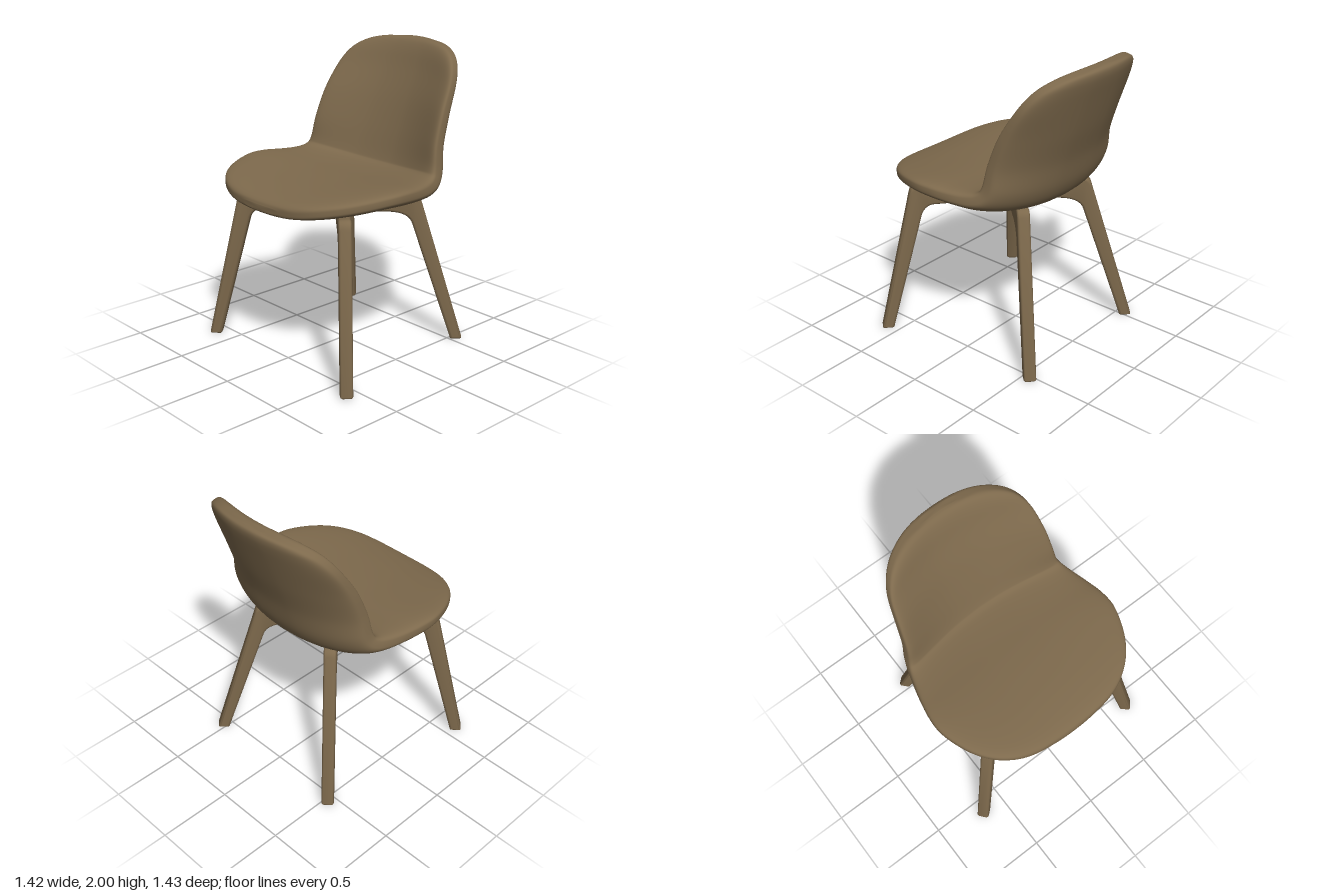
import * as THREE from 'three';
import { toCreasedNormals } from 'three/addons/utils/BufferGeometryUtils.js';

// Cross-sections from the seat's front lip to the top of the back:
// upper centre z, y | lower centre z, y | side rim z, y | half width
const SECTIONS = [
  [0.712, 1.1, 0.712, 1.065, 0.707, 1.085, 0.15],
  [0.698, 1.125, 0.698, 1.052, 0.687, 1.1, 0.3],
  [0.66, 1.145, 0.66, 1.046, 0.64, 1.122, 0.43],
  [0.58, 1.165, 0.58, 1.046, 0.55, 1.145, 0.55],
  [0.44, 1.185, 0.44, 1.052, 0.42, 1.165, 0.64],
  [0.26, 1.195, 0.26, 1.052, 0.25, 1.182, 0.7],
  [0.1, 1.195, 0.08, 1.04, 0.12, 1.18, 0.703],
  [-0.06, 1.188, -0.12, 1.03, -0.02, 1.17, 0.677],
  [-0.2, 1.188, -0.3, 1.03, -0.14, 1.17, 0.645],
  [-0.27, 1.2, -0.41, 1.07, -0.225, 1.195, 0.618],
  [-0.3, 1.24, -0.48, 1.18, -0.265, 1.26, 0.598],
  [-0.37, 1.42, -0.535, 1.38, -0.29, 1.41, 0.579],
  [-0.45, 1.62, -0.605, 1.58, -0.36, 1.6, 0.56],
  [-0.53, 1.8, -0.67, 1.78, -0.46, 1.78, 0.527],
  [-0.575, 1.91, -0.705, 1.89, -0.53, 1.885, 0.47],
  [-0.605, 1.967, -0.718, 1.947, -0.59, 1.945, 0.385],
  [-0.63, 1.992, -0.715, 1.98, -0.64, 1.979, 0.27],
  [-0.655, 2.0, -0.695, 1.997, -0.668, 1.993, 0.13],
];

function makeShell() {
  const curve = f => new THREE.CatmullRomCurve3(
    SECTIONS.map(s => new THREE.Vector3(...f(s))), false, 'catmullrom', 0.5);
  const upper = curve(s => [0, s[1], s[0]]);
  const lower = curve(s => [0, s[3], s[2]]);
  const rim = curve(s => [s[6], s[5], s[4]]);

  const rows = 102, cols = 96, power = 2 / 3.6;
  const round = v => Math.sign(v) * Math.abs(v) ** power;
  const positions = [], index = [];
  for (let i = 0; i <= rows; i++) {
    const t = i / rows;
    const top = upper.getPoint(t), low = lower.getPoint(t), edge = rim.getPoint(t);
    const mid = top.clone().add(low).multiplyScalar(0.5);
    const half = top.clone().sub(low).multiplyScalar(0.5);
    for (let j = 0; j < cols; j++) {
      const a = (j / cols) * Math.PI * 2;
      const s = round(Math.cos(a)), h = round(Math.sin(a));
      // The middle surface curves towards the raised side rims
      positions.push(edge.x * s,
        mid.y + (edge.y - mid.y) * s * s + half.y * h,
        mid.z + (edge.z - mid.z) * s * s + half.z * h);
    }
  }
  for (let i = 0; i < rows; i++) {
    for (let j = 0; j < cols; j++) {
      const k = (j + 1) % cols;
      const a = i * cols + j, b = i * cols + k, c = a + cols, d = b + cols;
      index.push(a, c, b, b, c, d);
    }
  }
  // Close both ends
  const end = rows * cols, front = (rows + 1) * cols, back = front + 1;
  const first = SECTIONS[0], last = SECTIONS[SECTIONS.length - 1];
  positions.push(0, (first[1] + first[3]) / 2, first[0]);
  positions.push(0, (last[1] + last[3]) / 2 + 0.001, (last[0] + last[2]) / 2);
  for (let j = 0; j < cols; j++) {
    const k = (j + 1) % cols;
    index.push(front, j, k, back, end + k, end + j);
  }
  const geo = new THREE.BufferGeometry();
  geo.setAttribute('position', new THREE.Float32BufferAttribute(positions, 3));
  geo.setIndex(index);
  geo.computeVertexNormals();
  return geo;
}

// One arm of the crossed frame, bending down into a tapered leg
function makeLeg({ foot, shoulder, inner, arch, bend }) {
  const width = 0.082, bevel = 0.018;
  const s = new THREE.Shape();
  s.moveTo(-0.02, 0.92);
  s.lineTo(arch, 0.915);
  s.quadraticCurveTo(inner - 0.025, 0.91, inner, bend);
  s.lineTo(foot - 0.04, 0.012);
  s.quadraticCurveTo(foot - 0.038, 0, foot - 0.028, 0);
  s.lineTo(foot + 0.028, 0);
  s.quadraticCurveTo(foot + 0.042, 0, foot + 0.04, 0.014);
  s.lineTo(shoulder, 1.0);
  s.quadraticCurveTo(shoulder - 0.012, 1.06, shoulder - 0.06, 1.06);
  s.lineTo(shoulder - 0.12, 1.045);
  s.lineTo(-0.02, 1.035);
  s.closePath();
  const geo = new THREE.ExtrudeGeometry(s, {
    depth: width - 2 * bevel, curveSegments: 8,
    bevelThickness: bevel, bevelSize: bevel, bevelOffset: -bevel, bevelSegments: 4,
  });
  geo.translate(0, 0, bevel - width / 2);
  return toCreasedNormals(geo, 0.7);
}

export function createModel() {
  const model = new THREE.Group();
  model.name = 'chair';
  const brown = new THREE.MeshStandardMaterial({ name: 'warm brown', color: 0x7d694c });

  const shell = new THREE.Mesh(makeShell(), brown);
  shell.name = 'seatAndBack';
  model.add(shell);

  const frame = new THREE.Group();
  frame.name = 'legFrame';
  frame.position.z = 0.03;
  model.add(frame);

  const legs = [
    { name: 'FrontLeg', dx: 0.66, dz: 0.56, foot: 0.866, shoulder: 0.686, inner: 0.607, arch: 0.53, bend: 0.85 },
    { name: 'BackLeg', dx: 0.522, dz: -0.58, foot: 0.786, shoulder: 0.53, inner: 0.475, arch: 0.32, bend: 0.83 },
  ];
  for (const leg of legs) {
    const geo = makeLeg(leg);
    for (const side of [1, -1]) {
      const mesh = new THREE.Mesh(geo, brown);
      mesh.name = (side > 0 ? 'left' : 'right') + leg.name;
      mesh.rotation.y = Math.atan2(-leg.dz, leg.dx * side);
      frame.add(mesh);
    }
  }
  return model;
}
